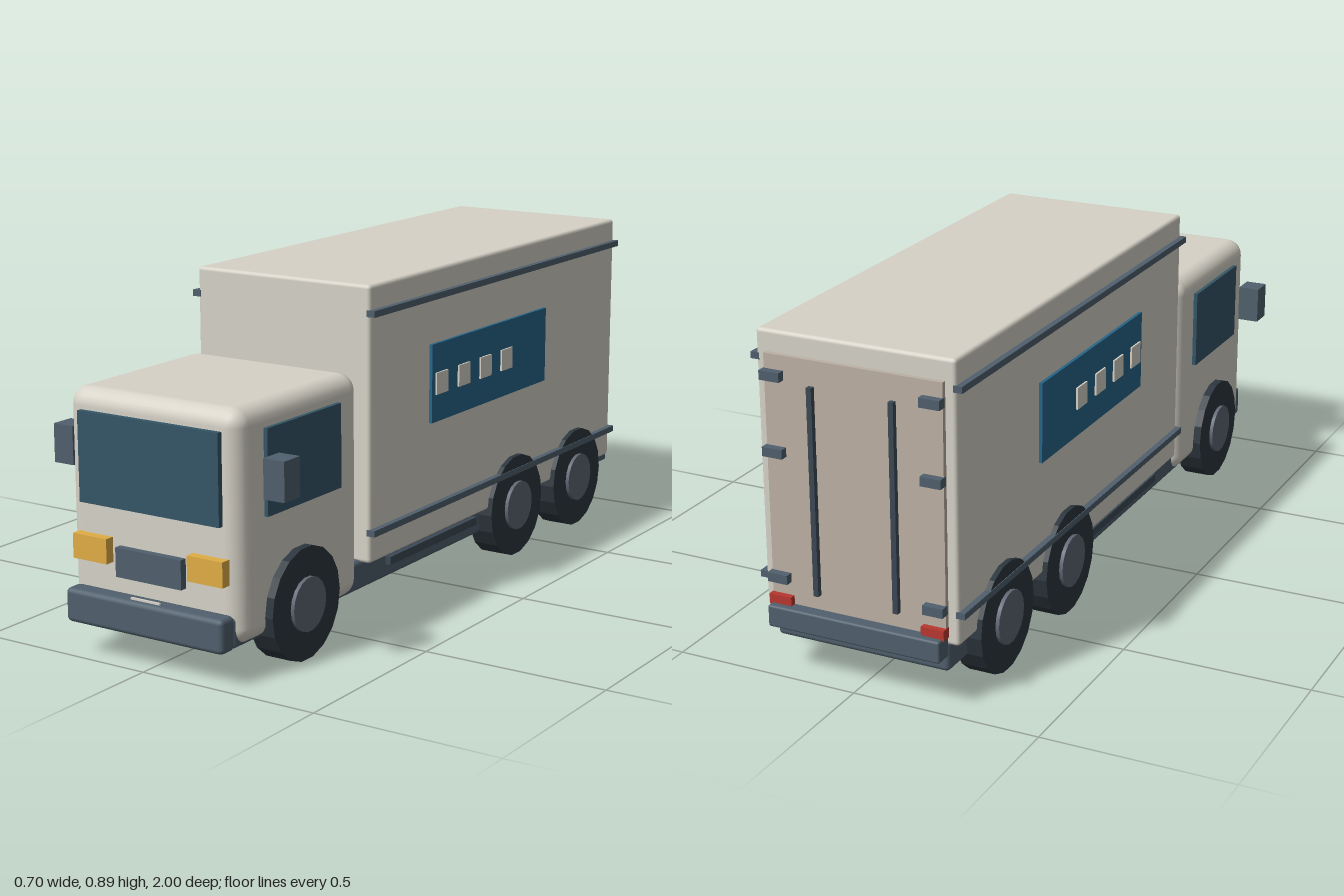
import * as THREE from 'three';
import { RoundedBoxGeometry } from 'three/addons/geometries/RoundedBoxGeometry.js';

const paint = (color) => new THREE.MeshStandardMaterial({ color });
const CREAM = paint(0xd6d2c7), SLATE = paint(0x50606d), TRIM = paint(0x3c4854);
const GLASS = paint(0x345567), BLUE = paint(0x276587), AMBER = paint(0xe0ad45);
const TAUPE = paint(0xbcb0a3), RED = paint(0xb8382f), HUB = paint(0x5d6672);
const TYRE = paint(0x2c363e);
TYRE.flatShading = true;

// Box given by its [min, max] extent on each axis; a radius rounds its edges
function box(name, material, [x0, x1], [y0, y1], [z0, z1], radius = 0, segments = 2) {
  const size = [x1 - x0, y1 - y0, z1 - z0];
  const geometry = radius
    ? new RoundedBoxGeometry(...size, segments, radius)
    : new THREE.BoxGeometry(...size);
  const mesh = new THREE.Mesh(geometry, material);
  mesh.name = name;
  mesh.position.set((x0 + x1) / 2, (y0 + y1) / 2, (z0 + z1) / 2);
  return mesh;
}

// Disc with its axle along x
function disc(name, material, radius, x0, x1) {
  const mesh = new THREE.Mesh(new THREE.CylinderGeometry(radius, radius, x1 - x0, 18), material);
  mesh.name = name;
  mesh.rotation.z = Math.PI / 2;
  mesh.position.x = (x0 + x1) / 2;
  return mesh;
}

function wheel(name, side, z) {
  const group = new THREE.Group();
  group.name = name;
  const inner = 0.21 * side, outer = 0.282 * side, cap = 0.292 * side;
  group.add(
    disc('tyre', TYRE, 0.146, Math.min(inner, outer), Math.max(inner, outer)),
    disc('hub', HUB, 0.07, Math.min(inner, cap), Math.max(inner, cap)),
  );
  group.position.set(0, 0.146, z);
  return group;
}

export function createModel() {
  const truck = new THREE.Group();
  truck.name = 'boxTruck';

  // Main bodies
  truck.add(
    box('chassis', SLATE, [-0.24, 0.24], [0.09, 0.17], [-0.955, 0.955], 0.012),
    box('cab', CREAM, [-0.26, 0.26], [0.092, 0.675], [0.43, 0.952], 0.045, 3),
    box('cargoBox', CREAM, [-0.268, 0.268], [0.163, 0.89], [-0.953, 0.4], 0.01),
  );

  // Cab front
  truck.add(
    box('frontBumper', SLATE, [-0.24, 0.24], [0.088, 0.176], [0.945, 1], 0.013),
    box('windshield', GLASS, [-0.212, 0.212], [0.392, 0.622], [0.945, 0.967]),
    box('grille', SLATE, [-0.1, 0.1], [0.22, 0.295], [0.945, 0.972]),
    box('numberPlate', CREAM, [-0.044, 0.044], [0.13, 0.181], [0.98, 0.986]),
  );

  // Rear end
  truck.add(
    box('rearDoor', TAUPE, [-0.24, 0.24], [0.19, 0.835], [-0.966, -0.945]),
    box('rearBumper', SLATE, [-0.238, 0.238], [0.132, 0.19], [-1, -0.95], 0.006),
  );

  // Parts repeated on both sides
  for (const side of [1, -1]) {
    const label = side > 0 ? 'left' : 'right';
    const add = (part, material, [xa, xb], y, z, radius) => truck.add(box(
      label + part, material, side > 0 ? [xa, xb] : [-xb, -xa], y, z, radius));

    add('Headlight', AMBER, [0.123, 0.228], [0.249, 0.313], [0.945, 0.978]);
    add('SideWindow', GLASS, [0.25, 0.271], [0.4, 0.617], [0.535, 0.85]);
    add('Mirror', SLATE, [0.29, 0.35], [0.457, 0.557], [0.83, 0.895]);
    add('SideStep', TRIM, [0.23, 0.256], [0.128, 0.15], [-0.17, 0.28]);

    // Side rails and panel with its row of squares
    add('UpperRail', SLATE, [0.26, 0.284], [0.81, 0.827], [-0.953, 0.402]);
    add('LowerRail', SLATE, [0.26, 0.284], [0.238, 0.255], [-0.953, 0.402]);
    add('SidePanel', BLUE, [0.26, 0.277], [0.478, 0.69], [-0.515, 0.11]);
    for (let i = 0; i < 4; i++) {
      const z = 0.064 - i * 0.116;
      add('PanelSquare' + (i + 1), CREAM, [0.27, 0.282], [0.553, 0.612], [z - 0.03, z + 0.03]);
    }

    // Rear door fittings
    add('LockBar', TRIM, [0.103, 0.117], [0.23, 0.77], [-0.98, -0.96]);
    [0.26, 0.59, 0.785].forEach((y, i) =>
      add('Hinge' + (i + 1), SLATE, [0.187, 0.242], [y - 0.012, y + 0.012], [-0.987, -0.96]));
    add('TailLight', RED, [0.18, 0.242], [0.186, 0.213], [-0.982, -0.955]);

    // One front axle, two rear axles
    [['FrontWheel', 0.706], ['MiddleWheel', -0.353], ['RearWheel', -0.72]].forEach(([part, z]) =>
      truck.add(wheel(label + part, side, z)));
  }
  return truck;
}
